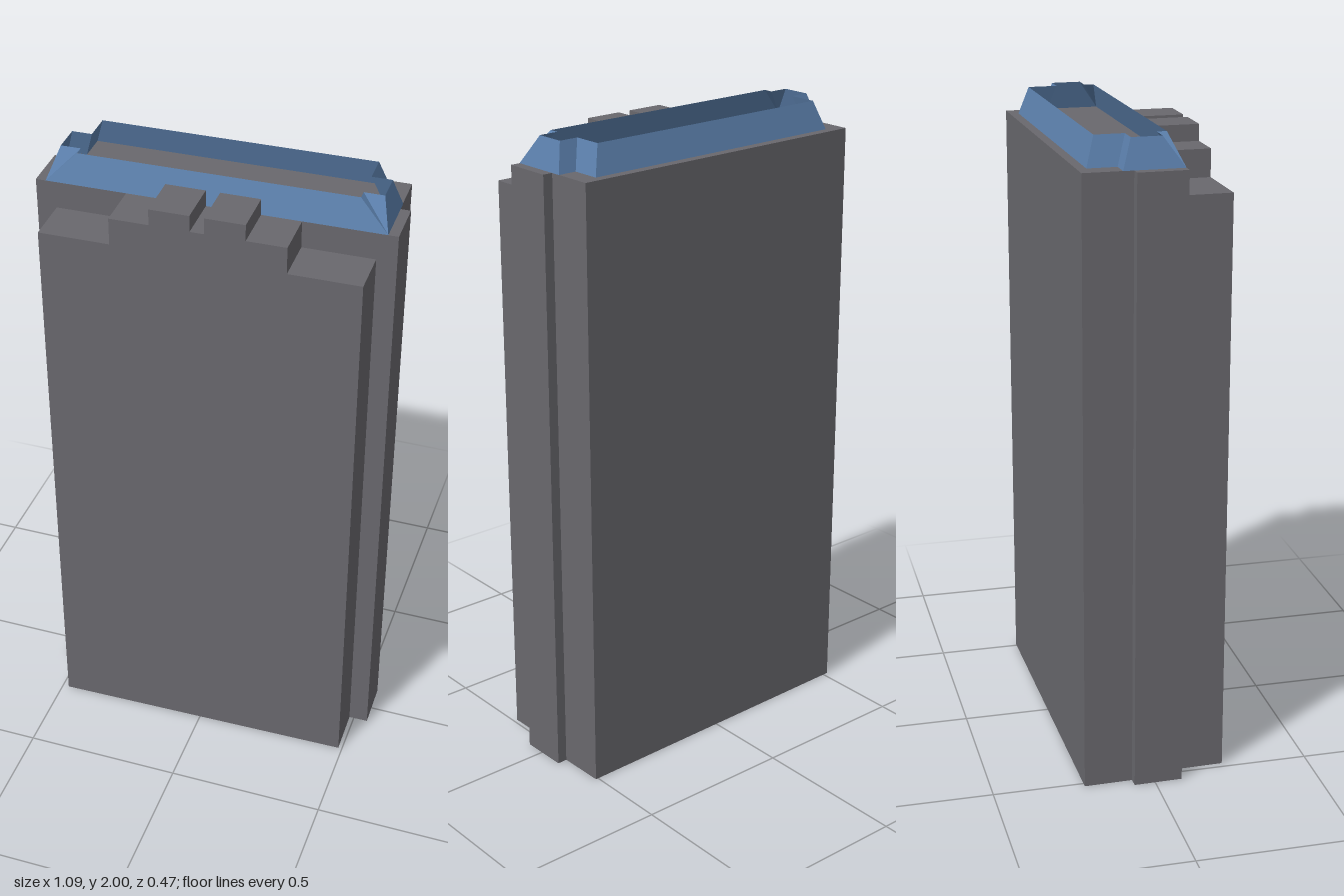
import * as THREE from 'three';

const ROOF = 1.912, SHOULDER = 1.827, MERLON = 1.963, TOP = 2;
const FRONT = 0.225, STEP = 0.075; // z of the facade and of the wall behind it

// Right-hand (+x) points followed by their mirror image in reverse order.
const mirrored = (pts) => [...pts, ...pts.map(([x, v]) => [-x, v]).reverse()];

// Open strip of quads between two point lists of equal length.
function ribbon(lower, upper) {
  const pos = [];
  for (let i = 0; i < lower.length - 1; i++) {
    const [a, b, c, d] = [lower[i], lower[i + 1], upper[i + 1], upper[i]];
    pos.push(...a, ...b, ...c, ...a, ...c, ...d);
  }
  const geo = new THREE.BufferGeometry();
  geo.setAttribute('position', new THREE.Float32BufferAttribute(pos, 3));
  geo.computeVertexNormals();
  return geo;
}

const flat = (pts) => new THREE.ShapeGeometry(new THREE.Shape(pts.map(([x, y]) => new THREE.Vector2(x, y))));

export function createModel() {
  const group = new THREE.Group();
  const grey = new THREE.MeshStandardMaterial({ color: 0x69686d, side: THREE.DoubleSide });
  grey.name = 'concrete grey';
  const blue = new THREE.MeshStandardMaterial({ color: 0x5b7fab, side: THREE.DoubleSide });
  blue.name = 'parapet blue';
  const add = (name, geo, mat) => {
    const mesh = new THREE.Mesh(geo, mat);
    mesh.name = name;
    group.add(mesh);
    return mesh;
  };

  // Side and back walls, open underneath
  const plan = mirrored([
    [0.4835, STEP], [0.5445, STEP], [0.5445, -0.076], [0.513, -0.076], [0.513, -0.2266],
  ]);
  add('walls', ribbon(plan.map(([x, z]) => [x, 0, z]), plan.map(([x, z]) => [x, ROOF, z])), grey);

  // Flat main roof
  const roof = flat(plan.map(([x, z]) => [x, -z])).rotateX(-Math.PI / 2);
  add('mainRoof', roof, grey).position.y = ROOF;

  // Front block with a stepped skyline
  const skyline = mirrored([
    [0.4835, 0], [0.4835, SHOULDER], [0.264, SHOULDER], [0.264, ROOF],
    [0.143, ROOF], [0.143, MERLON], [0.0215, MERLON], [0.0215, ROOF],
  ]);
  add('facade', flat(skyline), grey).position.z = FRONT;
  add('facadeSteps', ribbon(
    skyline.map(([x, y]) => [x, y, STEP]), skyline.map(([x, y]) => [x, y, FRONT])), grey);

  // Wall strips where the front block is lower or higher than the main roof
  for (const s of [-1, 1]) {
    const shoulder = add('shoulderWall', new THREE.PlaneGeometry(0.4835 - 0.264, ROOF - SHOULDER), grey);
    shoulder.position.set(s * (0.4835 + 0.264) / 2, (ROOF + SHOULDER) / 2, STEP);
    const back = add('merlonBack', new THREE.PlaneGeometry(0.143 - 0.0215, MERLON - ROOF), grey);
    back.position.set(s * (0.143 + 0.0215) / 2, (ROOF + MERLON) / 2, STEP);
    back.rotation.y = Math.PI;
  }

  // Sloping parapet sheet; each front corner fans out to three rim points
  const base = mirrored([
    [0.514, STEP], [0.514, STEP], [0.514, STEP], [0.514, -0.108], [0.454, -0.108], [0.454, -0.198],
  ]);
  const rim = mirrored([
    [0.4235, 0.043], [0.4235, 0.013], [0.4855, 0.013], [0.4855, -0.079], [0.4235, -0.079], [0.4235, -0.17],
  ]);
  const ring = (pts, y) => [...pts, pts[0]].map(([x, z]) => [x, y, z]);
  add('parapet', ribbon(ring(base, ROOF), ring(rim, TOP)), blue);

  // The whole block stands slightly turned
  group.rotation.y = 0.0185;
  group.name = 'towerBlock';
  return group;
}
